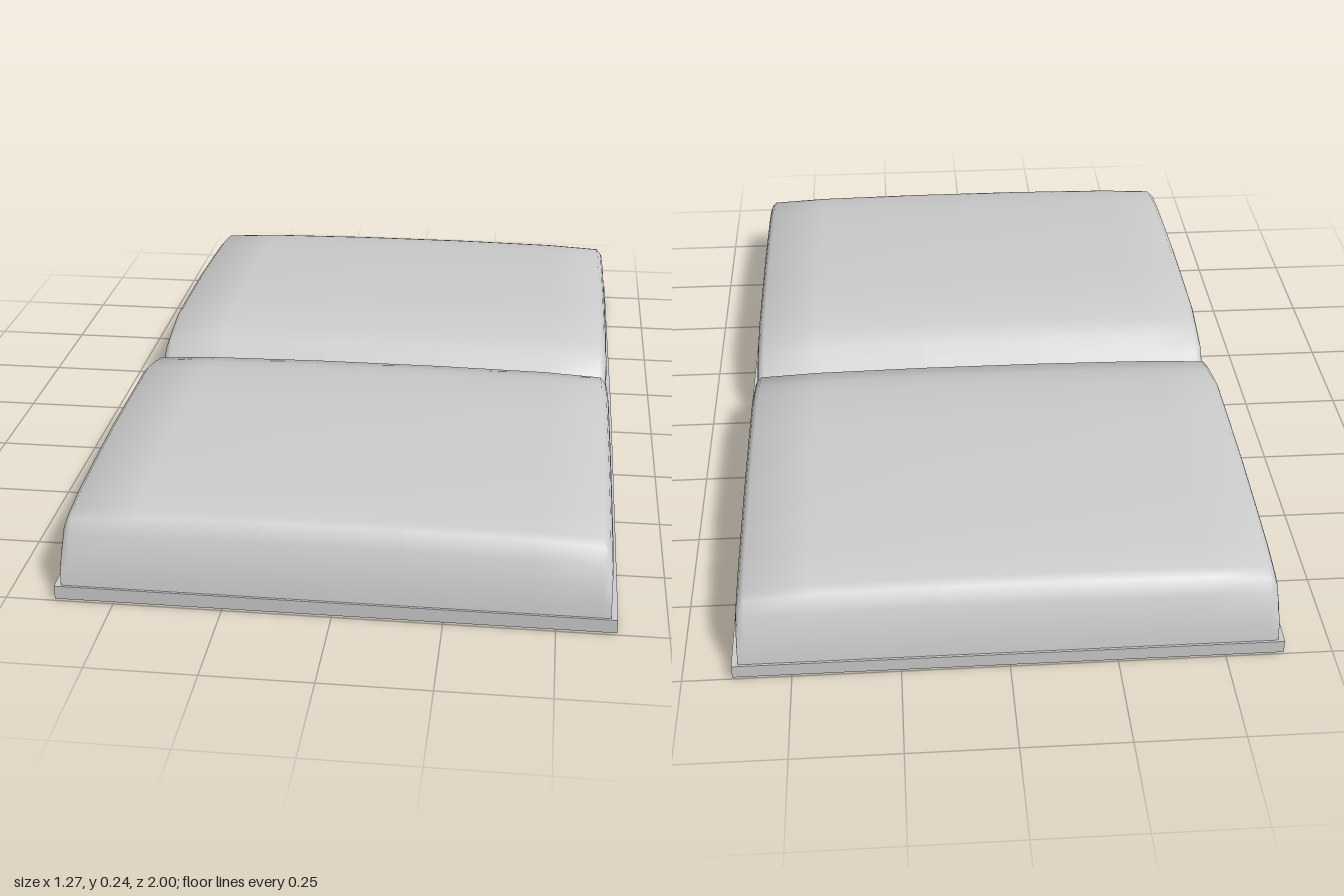
import * as THREE from 'three';
import { toCreasedNormals } from 'three/addons/utils/BufferGeometryUtils.js';

const material = new THREE.MeshStandardMaterial({ color: 0xcccccc, side: THREE.DoubleSide });

// Height of the cover's upper face at depth z
const coverTop = (z) => 0.08 - 0.042 * Math.max(0, (z - 0.07) / 0.93);

// Bent slab with a shallow spine ridge underneath
function makeCover() {
  const shape = new THREE.Shape([
    [-1, 0.005], [-0.99, 0], [-0.1, 0.038], [-0.07, 0.03], [0.07, 0.03], [0.1, 0.038],
    [0.99, 0], [1, 0.005], [1, 0.038], [0.07, 0.08], [-0.07, 0.08], [-1, 0.038],
  ].map(([z, y]) => new THREE.Vector2(z, y)));
  const geometry = new THREE.ExtrudeGeometry(shape, { depth: 1.27, bevelEnabled: false });
  geometry.translate(0, 0, -0.635).rotateY(-Math.PI / 2);
  const mesh = new THREE.Mesh(geometry, material);
  mesh.name = 'cover';
  return mesh;
}

// One half of the pages: a z-y profile swept across x, sinking at both sides
function makePages(name) {
  const profile = [
    [0, 0.125], [0.03, 0.165], [0.06, 0.203], [0.13, 0.222], [0.2, 0.237], [0.36, 0.238],
    [0.52, 0.237], [0.68, 0.23], [0.83, 0.221], [0.92, 0.208], [0.945, 0.2],
    [0.965, 0.16], [0.98, 0.115], [0.99, 0.075], [0.995, 0.036],
  ];
  // x position and how far the top has dropped there
  const side = [[0.617, 0.038], [0.612, 0.025], [0.6, 0.012], [0.45, 0.004], [0.16, 0]];
  const half = [[0.62, null], [0.62, 0.06], ...side];
  const sections = [...half.map(([x, d]) => [-x, d]), ...half.slice().reverse()];

  const positions = [], indices = [], n = profile.length;
  sections.forEach(([x, drop], i) => {
    profile.forEach(([z, y], j) => {
      const base = coverTop(z) - 0.005;
      const weight = THREE.MathUtils.clamp((y - 0.07) / 0.13, 0, 1);
      positions.push(x, drop === null ? base : Math.max(base, y - drop * weight), z);
      if (i && j) {
        const d = i * n + j, c = d - 1, b = d - n, a = b - 1;
        indices.push(a, b, c, b, d, c);
      }
    });
  });
  const geometry = new THREE.BufferGeometry();
  geometry.setAttribute('position', new THREE.Float32BufferAttribute(positions, 3));
  geometry.setIndex(indices);
  const mesh = new THREE.Mesh(toCreasedNormals(geometry, 1.0), material);
  mesh.name = name;
  return mesh;
}

export function createModel() {
  const book = new THREE.Group();
  book.name = 'openBook';
  const frontPages = makePages('frontPages');
  const backPages = makePages('backPages');
  backPages.rotation.y = Math.PI;
  book.add(makeCover(), frontPages, backPages);
  return book;
}
